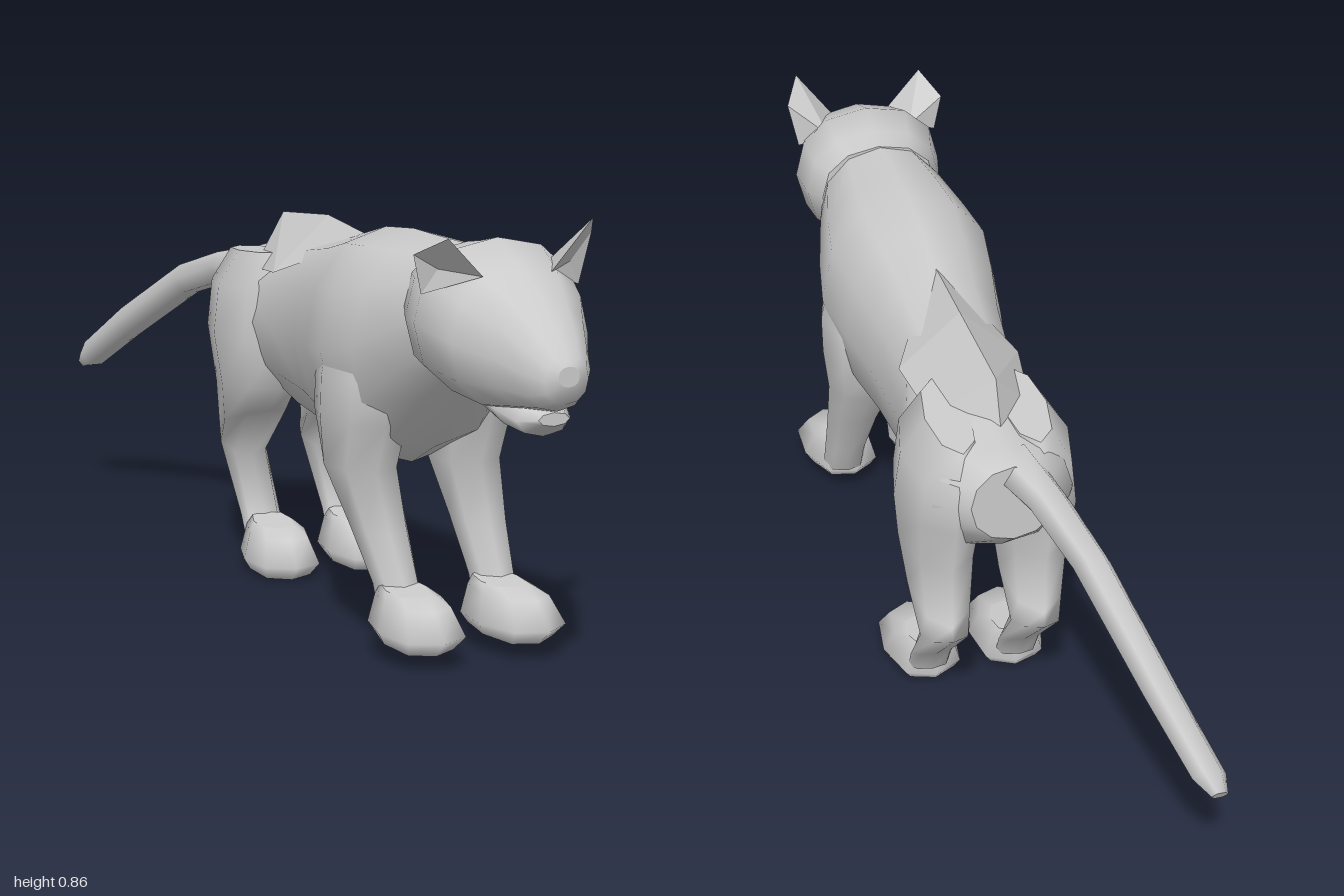
import * as THREE from 'three';

const material = new THREE.MeshStandardMaterial({ color: 0xcccccc, side: THREE.DoubleSide });
const flatMaterial = new THREE.MeshStandardMaterial({ color: 0xcccccc, flatShading: true, side: THREE.DoubleSide });

// Skin over oval rings [x, y, z, halfWidth, halfHeight, tilt]; tilt 0 faces +z, -90 faces up.
function loft(name, rings, sides = 12, power = 1) {
  const pos = [], index = [];
  const soft = (v) => Math.sign(v) * Math.abs(v) ** power;
  const addRing = ([x, y, z, w, h, tilt = 0]) => {
    const t = THREE.MathUtils.degToRad(tilt);
    for (let j = 0; j < sides; j++) {
      const a = (j / sides) * Math.PI * 2;
      const u = soft(Math.cos(a)) * w, v = soft(Math.sin(a)) * h;
      pos.push(x + u, y + v * Math.cos(t), z + v * Math.sin(t));
    }
  };
  rings.forEach(addRing);
  for (let i = 0; i < rings.length - 1; i++) {
    for (let j = 0; j < sides; j++) {
      const k = (j + 1) % sides, a = i * sides, b = a + sides;
      index.push(a + j, a + k, b + k, a + j, b + k, b + j);
    }
  }
  // end caps with their own vertices, so their edges stay sharp
  const first = rings.length * sides, last = first + sides;
  addRing(rings[0]);
  addRing(rings[rings.length - 1]);
  for (let j = 1; j < sides - 1; j++) {
    index.push(first, first + j + 1, first + j, last, last + j, last + j + 1);
  }
  return build(name, pos, index, material);
}

function build(name, pos, index, mat) {
  const g = new THREE.BufferGeometry();
  g.setAttribute('position', new THREE.Float32BufferAttribute(pos, 3));
  g.setIndex(index);
  g.computeVertexNormals();
  const mesh = new THREE.Mesh(g, mat);
  mesh.name = name;
  return mesh;
}

// Paw: flat sole, wide rim and a top that slopes down to the toes.
function paw(name, x, y, z, turn) {
  const mesh = loft(name, [
    [0, 0.008, -0.01, 0.062, 0.092, -86],
    [0, 0.033, 0, 0.078, 0.115, -90],
    [0, 0.085, -0.015, 0.06, 0.09, -88],
    [0, 0.1, -0.045, 0.042, 0.055, -85],
  ], 8, 0.8);
  mesh.position.set(x, y, z);
  mesh.rotation.y = turn;
  return mesh;
}

function frontLeg(side, xTop, xFoot, turn) {
  const leg = new THREE.Group();
  leg.name = side + 'FrontLeg';
  const mid = (xTop + xFoot) / 2;
  leg.add(loft(side + 'Foreleg', [
    [xFoot, 0.06, 0.505, 0.045, 0.058, -75],
    [xFoot, 0.13, 0.472, 0.046, 0.058, -75],
    [mid, 0.24, 0.432, 0.058, 0.066, -75],
    [xTop, 0.35, 0.39, 0.073, 0.085, -85],
    [xTop, 0.44, 0.395, 0.082, 0.125, -90],
    [xTop, 0.52, 0.4, 0.082, 0.13, -90],
    [xTop * 0.9, 0.62, 0.4, 0.072, 0.11, -90],
    [xTop * 0.7, 0.72, 0.4, 0.04, 0.07, -90],
  ], 8));
  leg.add(paw(side + 'FrontPaw', xFoot, 0.03, 0.572, turn));
  return leg;
}

function hindLeg(side, xTop, xFoot, turn) {
  const leg = new THREE.Group();
  leg.name = side + 'HindLeg';
  leg.add(loft(side + 'HindShin', [
    [xFoot, 0.04, -0.2, 0.042, 0.05, -65],
    [xFoot, 0.1, -0.232, 0.044, 0.05, -60],
    [xFoot, 0.238, -0.342, 0.05, 0.068, -72],
    [(xTop + xFoot) / 2, 0.305, -0.255, 0.062, 0.125, -108],
    [xTop, 0.39, -0.203, 0.075, 0.142, -95],
    [xTop, 0.5, -0.222, 0.086, 0.158, -90],
    [xTop * 0.95, 0.6, -0.225, 0.078, 0.15, -92],
    [xTop * 0.8, 0.67, -0.225, 0.045, 0.12, -94],
  ], 8));
  leg.add(paw(side + 'HindPaw', xFoot, 0, -0.12, turn));
  return leg;
}

// Ear: four-cornered front with a recessed middle, closed behind by a point in the skull.
function ear(name, s, tipY) {
  const p = (x, y, z) => [0.015 + s * x, y, z];
  const pos = [
    ...p(0.065, 0.765, 0.84), ...p(0.153, 0.73, 0.775),
    ...p(0.172, tipY - 0.035, 0.785), ...p(0.138, tipY, 0.855),
    ...p(0.09, 0.76, 0.75), ...p(0.128, 0.775, 0.79),
  ];
  return build(name, pos, [
    0, 1, 5, 1, 2, 5, 2, 3, 5, 3, 0, 5, 0, 3, 4, 3, 2, 4, 2, 1, 4,
  ], flatMaterial);
}

export function createModel() {
  const model = new THREE.Group();
  model.name = 'bigCat';

  model.add(loft('body', [
    [0.0, 0.565, -0.392, 0.085, 0.085],
    [0.01, 0.55, -0.345, 0.14, 0.115],
    [0.015, 0.542, -0.2, 0.155, 0.138],
    [0.012, 0.535, -0.03, 0.125, 0.18],
    [0.013, 0.547, 0.15, 0.145, 0.2],
    [0.013, 0.555, 0.27, 0.168, 0.222],
    [0.013, 0.565, 0.4, 0.188, 0.225],
    [0.015, 0.59, 0.5, 0.17, 0.2],
    [0.02, 0.64, 0.6, 0.14, 0.15],
    [0.025, 0.67, 0.68, 0.11, 0.12],
  ], 12, 0.95));

  // raised kite-shaped ridge over the hips
  model.add(build('hipRidge', [
    0.01, 0.748, 0.21, -0.11, 0.652, -0.02, 0.01, 0.764, -0.02,
    0.135, 0.652, -0.02, -0.005, 0.745, -0.235, 0.0, 0.645, -0.3,
    -0.09, 0.64, -0.18, 0.11, 0.64, -0.18,
  ], [0, 2, 1, 0, 3, 2, 1, 2, 4, 2, 3, 4, 1, 4, 6, 3, 7, 4, 6, 4, 5, 7, 5, 4], flatMaterial));

  model.add(loft('head', [
    [0.025, 0.685, 0.615, 0.125, 0.108],
    [0.025, 0.672, 0.67, 0.147, 0.13],
    [0.022, 0.675, 0.745, 0.16, 0.143],
    [0.022, 0.652, 0.84, 0.133, 0.127],
    [0.03, 0.635, 0.9, 0.094, 0.1],
    [0.036, 0.613, 0.96, 0.062, 0.068],
    [0.037, 0.605, 0.99, 0.042, 0.042],
    [0.037, 0.612, 1.0, 0.02, 0.018],
  ], 12, 0.9));
  model.add(loft('lowerJaw', [
    [0.035, 0.57, 0.75, 0.085, 0.045],
    [0.037, 0.535, 0.85, 0.07, 0.04],
    [0.038, 0.52, 0.905, 0.052, 0.03],
    [0.038, 0.528, 0.945, 0.03, 0.012],
  ], 8));
  model.add(ear('leftEar', 1, 0.86), ear('rightEar', -1, 0.837));

  model.add(frontLeg('left', 0.123, 0.147, 0.2), frontLeg('right', -0.092, -0.052, 0.05));
  model.add(hindLeg('left', 0.11, 0.125, 0.1), hindLeg('right', -0.08, -0.06, -0.05));

  model.add(loft('tail', [
    [-0.216, 0.308, -0.995, 0.016, 0.016, -30],
    [-0.205, 0.33, -0.965, 0.032, 0.033, -30],
    [-0.155, 0.425, -0.83, 0.034, 0.038, -30],
    [-0.09, 0.555, -0.6, 0.036, 0.037, -24],
    [-0.05, 0.6, -0.46, 0.04, 0.037, -17],
    [-0.005, 0.622, -0.33, 0.055, 0.045, -15],
  ], 6));
  return model;
}
